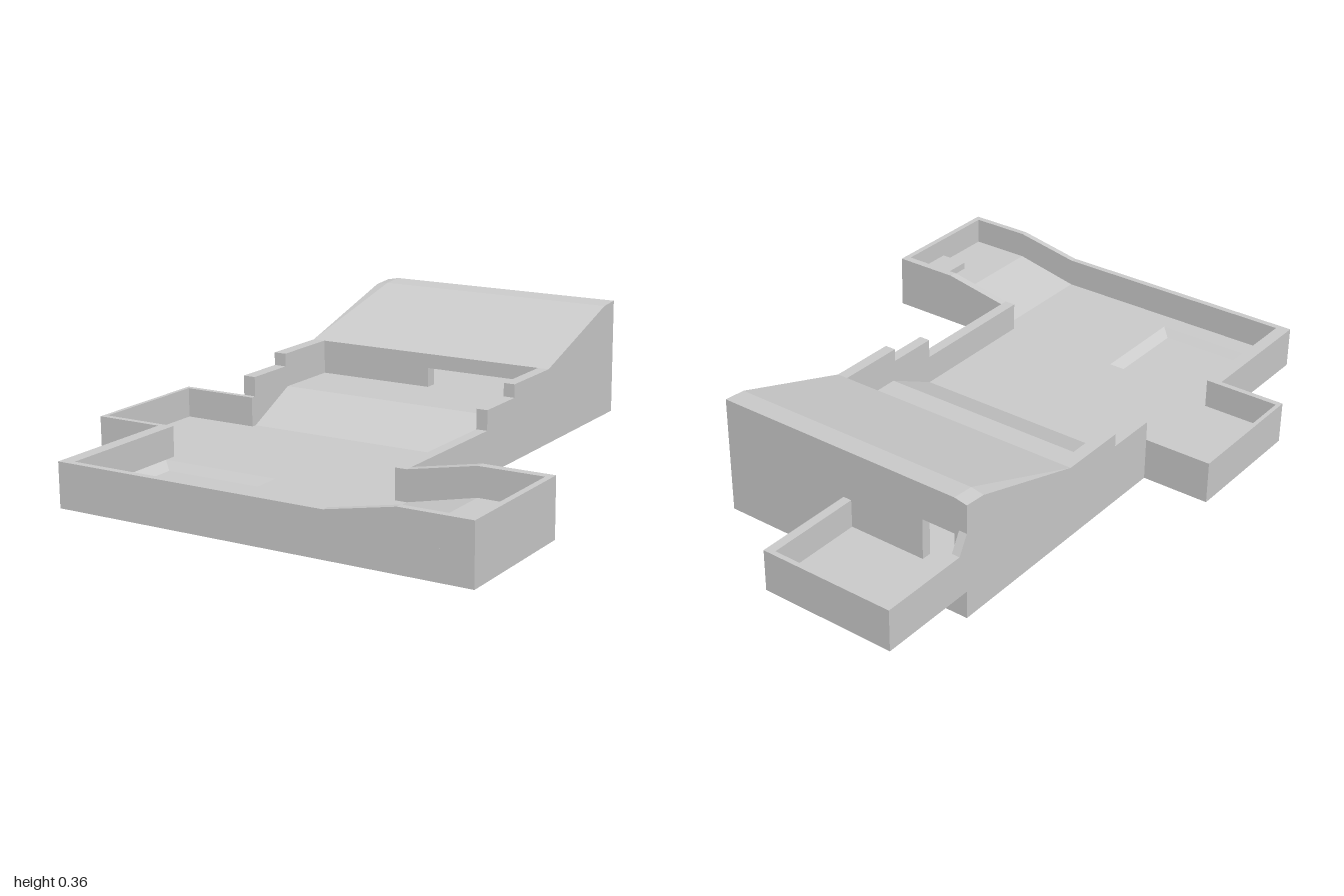
import * as THREE from 'three';

const material = new THREE.MeshStandardMaterial({ color: 0xcccccc, flatShading: true });

export function createModel() {
  const model = new THREE.Group();

  function add(name, geometry) {
    const mesh = new THREE.Mesh(geometry, material);
    mesh.name = name;
    model.add(mesh);
    return mesh;
  }
  function extrude(points, depth) {
    const shape = new THREE.Shape(points.map(([a, b]) => new THREE.Vector2(a, b)));
    return new THREE.ExtrudeGeometry(shape, { depth, bevelEnabled: false });
  }
  // Profile of [z, y] points swept from x0 to x1
  function alongX(name, points, x0, x1) {
    return add(name, extrude(points, x1 - x0).rotateY(-Math.PI / 2).translate(x1, 0, 0));
  }
  // Profile of [x, y] points swept from z0 to z1
  function alongZ(name, points, z0, z1) {
    return add(name, extrude(points, z1 - z0).translate(0, 0, z0));
  }
  function box(name, x0, x1, y0, y1, z0, z1) {
    const g = new THREE.BoxGeometry(x1 - x0, y1 - y0, z1 - z0);
    return add(name, g.translate((x0 + x1) / 2, (y0 + y1) / 2, (z0 + z1) / 2));
  }

  const floor = 0.04, pit = 0.018, landing = 0.125, armFloor = 0.085;

  // Main floor: flat, ramp, raised landing running on under the roof
  alongX('mainFloor', [[0.575, 0], [0.575, floor], [0.155, floor], [-0.02, landing],
    [-0.69, landing], [-0.69, 0]], -0.525, 0.31);

  // Front floor, rising into the side arm, with a shallow trough
  const armEnd = [[0.31, floor], [0.52, armFloor], [0.73, armFloor], [0.73, 0]];
  const flat = [[-0.525, 0], [-0.525, floor], ...armEnd];
  const sunk = [[-0.525, 0], [-0.525, floor], [-0.485, floor], [-0.455, pit],
    [-0.14, pit], [-0.11, floor], ...armEnd];
  alongZ('frontFloorBack', flat, 0.575, 0.595);
  alongZ('troughFloor', sunk, 0.595, 0.915);
  alongZ('frontFloorEdge', flat, 0.915, 1);
  for (const [edge, inner] of [[0.595, 0.62], [0.915, 0.89]]) {
    alongX('troughSlope', [[edge, pit - 0.01], [edge, floor], [inner, pit], [inner, pit - 0.01]],
      -0.485, -0.11);
  }

  // Front and arm walls follow the rising floor
  const rise = [[0.31, 0.13], [0.52, 0.17], [0.73, 0.17], [0.73, 0]];
  alongZ('frontWall', [[-0.525, 0], [-0.525, 0.13], ...rise], 0.98, 1);
  alongZ('armBackWall', [[0.275, 0], [0.275, 0.13], ...rise], 0.575, 0.6);
  box('armEndWall', 0.712, 0.73, 0, 0.17, 0.575, 1);
  box('armStep', 0.62, 0.715, 0.08, 0.108, 0.595, 0.78);
  box('frontSideWall', -0.525, -0.485, 0, 0.13, 0.56, 1);

  // Side bay
  box('bayFloor', -0.735, -0.5, 0, floor, 0.155, 0.575);
  box('bayEndWall', -0.735, -0.722, 0, 0.13, 0.155, 0.575);
  box('bayBackWall', -0.735, -0.485, 0, 0.13, 0.155, 0.172);
  box('bayFrontWall', -0.735, -0.485, 0, 0.13, 0.557, 0.575);

  // Stepped side walls that climb to the roof line
  const steps = [[0.155, 0.19], [-0.01, 0.19], [-0.01, 0.23], [-0.23, 0.23],
    [-0.62, 0.355], [-0.69, 0.36], [-0.69, 0]];
  alongX('leftSteppedWall', [[0.6, 0], [0.6, 0.13], [0.155, 0.13], ...steps], 0.275, 0.31);
  const rightWall = alongX('rightSteppedWall', [[0.155, 0], ...steps], -0.525, -0.485);
  // Outer top corner of the roof edge drops a little
  const p = rightWall.geometry.attributes.position;
  for (let i = 0; i < p.count; i++) {
    if (p.getX(i) < -0.52 && p.getY(i) > 0.3) p.setY(i, p.getY(i) - 0.008);
  }
  rightWall.geometry.computeVertexNormals();

  // Sloping roof slab
  alongX('roof', [[-0.23, 0.23], [-0.62, 0.355], [-0.69, 0.36], [-0.69, 0.33],
    [-0.62, 0.325], [-0.23, 0.2]], -0.485, 0.275);

  // Partition below the roof front, with a wide low doorway
  alongZ('partition', [[-0.485, 0.12], [-0.485, 0.23], [0.275, 0.23], [0.275, 0.12],
    [0.235, 0.12], [0.235, 0.185], [-0.105, 0.185], [-0.105, 0.12]], -0.27, -0.231);

  // Back wall with a doorway to the rear tray
  alongZ('backWall', [[-0.5, 0], [-0.5, landing], [-0.38, landing], [-0.38, 0.25],
    [-0.5, 0.25], [-0.5, 0.35], [0.3, 0.35], [0.3, 0]], -0.69, -0.66);

  // Raised rear tray
  box('trayFloor', -0.525, -0.11, 0.085, landing, -1, -0.68);
  box('trayBackWall', -0.525, -0.11, 0.085, 0.21, -1, -0.985);
  box('traySideWall', -0.525, -0.5, 0.085, 0.21, -1, -0.68);
  box('traySideWall', -0.137, -0.11, 0.085, 0.21, -1, -0.68);
  alongX('trayGusset', [[-0.685, 0.2], [-0.685, 0.275], [-0.72, 0.21], [-0.72, 0.2]], -0.525, -0.5);

  return model;
}
